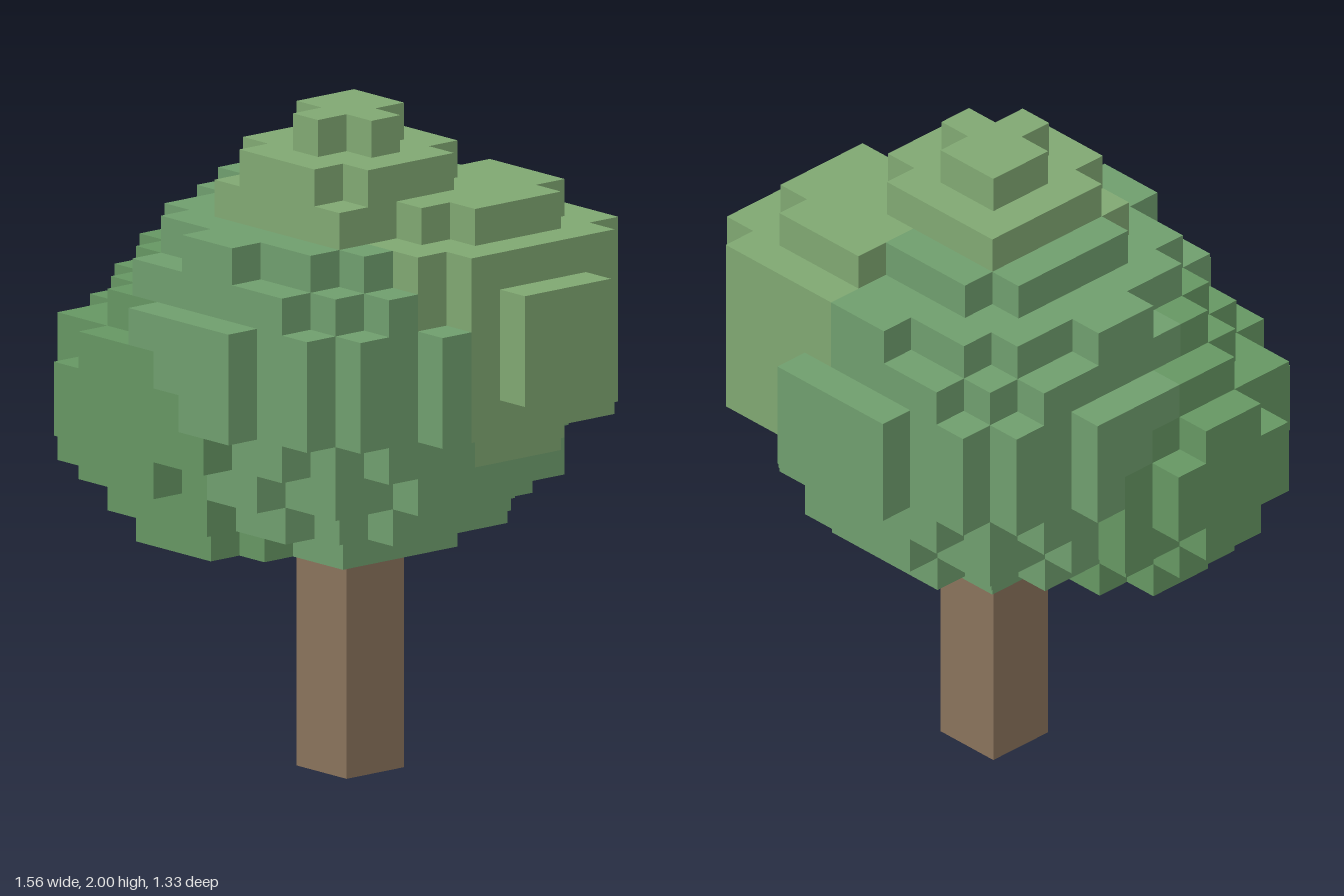
import * as THREE from 'three';

const V = 1 / 9; // edge length of one block

// Each lobe is a stack of block discs: centre (x, z), first layer, squared radius per layer;
// depth weights the z distance, so a value above 1 makes the lobe shallower
const LOBES = [
  { name: 'mainFoliage', color: 0x709f6e, x: 0, z: 0, y: 6, depth: 1,
    r2: [5, 17, 25, 29, 33.5, 34, 33.5, 29, 21, 10] },
  { name: 'rightHandLowFoliage', color: 0x669763, x: -2.4, z: 2, y: 6, depth: 1.3,
    r2: [6, 12, 18.5, 24.6, 24.6, 18.5, 12, 6] },
  { name: 'leftHandHighFoliage', color: 0x80a872, x: 2.6, z: -1.4, y: 9, depth: 1,
    r2: [6.5, 14, 16.6, 16.6, 16.6, 14, 6.5] },
  { name: 'crownFoliage', color: 0x81a973, x: 0.4, z: 0.4, y: 14, depth: 1,
    r2: [8.2, 9.5, 7.5, 1.8] },
];

// Index of the lobe that owns a block, or -1 for empty space
function lobeAt(i, j, k) {
  let best = -1, bestRatio = 1;
  LOBES.forEach((lobe, n) => {
    const r2 = lobe.r2[j - lobe.y];
    if (r2 === undefined) return;
    const dx = i + 0.5 - lobe.x, dz = k + 0.5 - lobe.z;
    const ratio = (dx * dx + lobe.depth * dz * dz) / r2;
    if (ratio <= bestRatio) {
      bestRatio = ratio;
      best = n;
    }
  });
  return best;
}

// Outer faces of the blocks owned by one lobe
function foliageGeometry(owner) {
  const positions = [], normals = [], index = [];
  for (let j = 6; j < 18; j++)
    for (let i = -8; i < 8; i++)
      for (let k = -8; k < 8; k++) {
        if (lobeAt(i, j, k) !== owner) continue;
        for (let axis = 0; axis < 3; axis++)
          for (const side of [-1, 1]) {
            const n = [0, 0, 0];
            n[axis] = side;
            if (lobeAt(i + n[0], j + n[1], k + n[2]) >= 0) continue;
            const u = (axis + 1) % 3, w = (axis + 2) % 3;
            const start = positions.length / 3;
            for (const [a, b] of [[-1, -1], [1, -1], [1, 1], [-1, 1]]) {
              const p = [i + 0.5, j + 0.5, k + 0.5];
              p[axis] += side / 2;
              p[u] += (a * side) / 2;
              p[w] += b / 2;
              positions.push(p[0] * V, p[1] * V, p[2] * V);
              normals.push(...n);
            }
            index.push(start, start + 1, start + 2, start, start + 2, start + 3);
          }
      }
  const geometry = new THREE.BufferGeometry();
  geometry.setAttribute('position', new THREE.Float32BufferAttribute(positions, 3));
  geometry.setAttribute('normal', new THREE.Float32BufferAttribute(normals, 3));
  geometry.setIndex(index);
  return geometry;
}

export function createModel() {
  const tree = new THREE.Group();
  tree.name = 'blockTree';

  // Square trunk
  const trunk = new THREE.Mesh(
    new THREE.BoxGeometry(2 * V, 6 * V, 2 * V),
    new THREE.MeshStandardMaterial({ color: 0x8a735c }),
  );
  trunk.name = 'trunk';
  trunk.position.y = 3 * V;
  tree.add(trunk);

  // Stepped foliage lobes
  LOBES.forEach((lobe, n) => {
    const mesh = new THREE.Mesh(
      foliageGeometry(n),
      new THREE.MeshStandardMaterial({ color: lobe.color }),
    );
    mesh.name = lobe.name;
    tree.add(mesh);
  });
  return tree;
}
